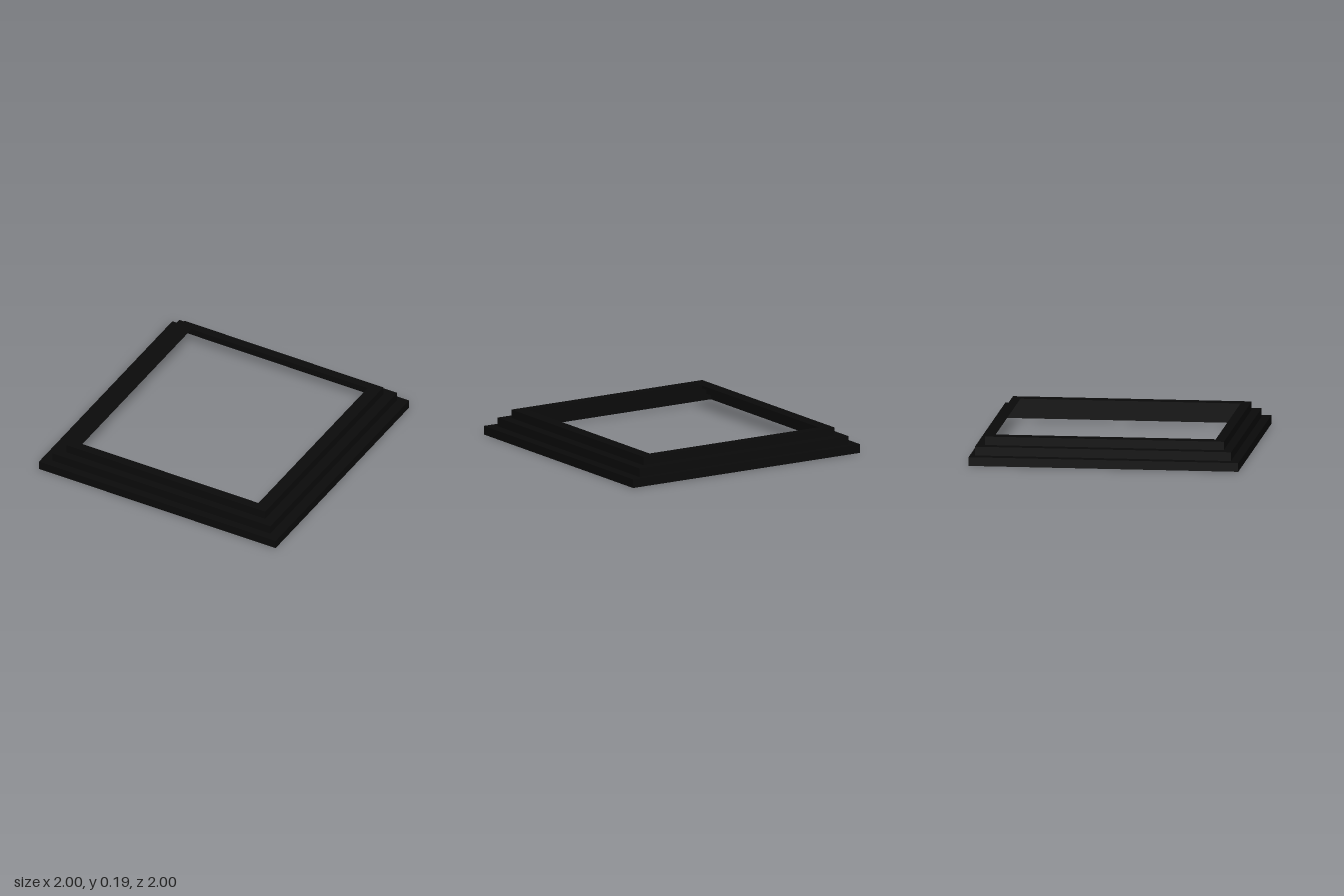
import * as THREE from 'three';

// Rectangular outlines from the floor up to the opening: half width, front z, back z, height
const rings = [
  { x: 1.0, front: 1.0, back: -1.0, y: 0 },
  { x: 1.0, front: 1.0, back: -1.0, y: 0.065 },
  { x: 0.92, front: 0.937, back: -0.963, y: 0.065 },
  { x: 0.92, front: 0.937, back: -0.963, y: 0.13 },
  { x: 0.84, front: 0.873, back: -0.897, y: 0.13 },
  { x: 0.84, front: 0.873, back: -0.897, y: 0.193 },
  { x: 0.744, front: 0.802, back: -0.83, y: 0.193 },
];
const names = ['lowerRiser', 'lowerTread', 'middleRiser', 'middleTread', 'upperRiser', 'openingRim'];

// Corners of an outline, counterclockwise seen from above
const corners = ({ x, front, back, y }) => [
  [x, y, front], [x, y, back], [-x, y, back], [-x, y, front],
];

// Four flat faces joining an outline to the next one
function band(lower, upper) {
  const a = corners(lower), b = corners(upper), positions = [];
  for (let i = 0; i < 4; i++) {
    const j = (i + 1) % 4;
    positions.push(...a[i], ...a[j], ...b[j], ...a[i], ...b[j], ...b[i]);
  }
  const geometry = new THREE.BufferGeometry();
  geometry.setAttribute('position', new THREE.Float32BufferAttribute(positions, 3));
  geometry.computeVertexNormals();
  return geometry;
}

export function createModel() {
  const group = new THREE.Group();
  group.name = 'steppedFrame';
  const material = new THREE.MeshStandardMaterial({ color: 0x0a0a0a, side: THREE.DoubleSide });

  // Hollow stepped shell, open underneath and in the middle
  names.forEach((name, i) => {
    const mesh = new THREE.Mesh(band(rings[i], rings[i + 1]), material);
    mesh.name = name;
    group.add(mesh);
  });
  return group;
}
